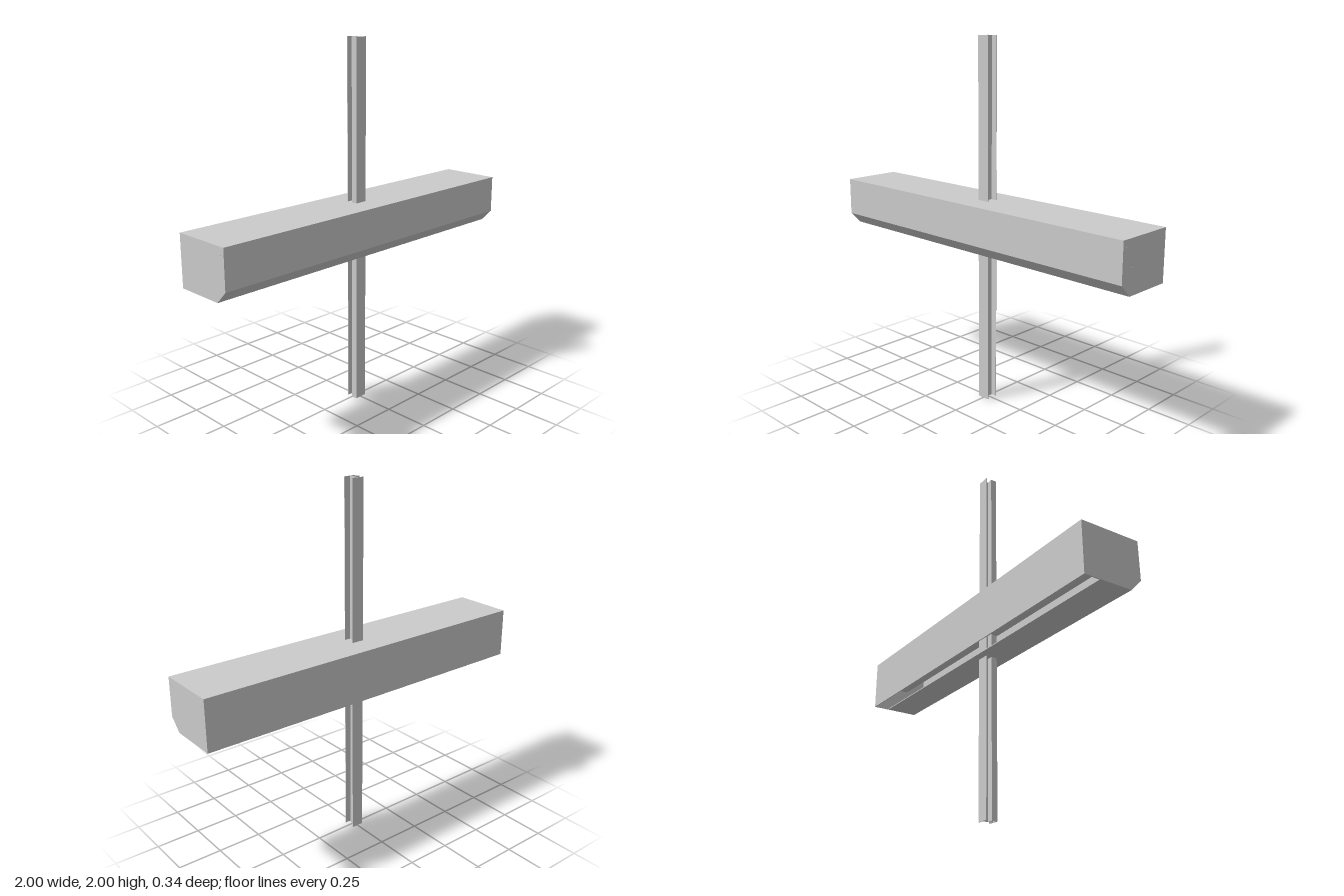
import * as THREE from 'three';

const grey = new THREE.MeshStandardMaterial({ color: 0xcccccc, flatShading: true });
const smooth = new THREE.MeshStandardMaterial({ color: 0xcccccc });

// Outline given as [z, y] pairs, extruded along x from x0 to x1
function extrudeAlongX(points, x0, x1) {
  const shape = new THREE.Shape(points.map(([z, y]) => new THREE.Vector2(-z, y)));
  const geo = new THREE.ExtrudeGeometry(shape, { depth: x1 - x0, bevelEnabled: false });
  return geo.rotateY(Math.PI / 2).translate(x0, 0, 0);
}

export function createModel() {
  const model = new THREE.Group();
  const add = (name, geometry, parent = model, material = grey) => {
    const mesh = new THREE.Mesh(geometry, material);
    mesh.name = name;
    parent.add(mesh);
    return mesh;
  };
  const box = (x0, x1, y0, y1, z0, z1) =>
    new THREE.BoxGeometry(x1 - x0, y1 - y0, z1 - z0)
      .translate((x0 + x1) / 2, (y0 + y1) / 2, (z0 + z1) / 2);

  const front = 0.168, back = -0.168, top = 1.14, bottom = 0.865;
  const t = 0.005, capT = 0.006;

  // Folded sheet casing, open along the rear of its underside
  const casing = new THREE.Group();
  casing.name = 'casing';
  model.add(casing);
  add('casingShell', extrudeAlongX([
    [back, bottom], [back, top], [front, top], [front, 0.93], [0.105, bottom], [-0.077, bottom],
    [-0.077, bottom + t], [0.103, bottom + t], [front - t, 0.932], [front - t, top - t],
    [back + t, top - t], [back + t, bottom],
  ], -1 + capT, 1 - capT), casing);

  // End caps with their fixing screws
  const capOutline = [[back, bottom], [back, top], [front, top], [front, 0.93], [0.105, bottom]];
  for (const side of [-1, 1]) {
    const x0 = side < 0 ? -1 : 1 - capT;
    add('endCap', extrudeAlongX(capOutline, x0, x0 + capT), casing);
    for (const [z, y] of [[0.14, 1.1], [0.09, 1.0], [-0.14, 1.1]]) {
      const screw = new THREE.CylinderGeometry(0.004, 0.004, 0.002, 12).rotateZ(Math.PI / 2);
      add('screw', screw.translate(side * 0.9995, y, z), casing);
    }
  }

  // Winding tube inside the casing
  add('windingTube', new THREE.CylinderGeometry(0.045, 0.045, 1.96, 32)
    .rotateZ(Math.PI / 2).translate(0, 1.04, 0.02), casing, smooth);

  // Full-height guide rail: flanges, web and a square hollow chamber
  const rail = new THREE.Group();
  rail.name = 'guideRail';
  model.add(rail);
  const w = 0.035, d = 0.033, s = 0.003;
  add('rearFlange', box(-w, w, 0, 2, -d, -d + s), rail);
  add('web', box(-s / 2, s / 2, 0, 2, -d + s, d - s), rail);
  add('frontFlange', box(-w, w, 0, 2, d - s, d), rail);
  add('chamberSide', box(-w, -w + s, 0, 2, 0, d - s), rail);
  add('chamberRear', box(-w + s, -s / 2, 0, 2, 0, s), rail);

  return model;
}
